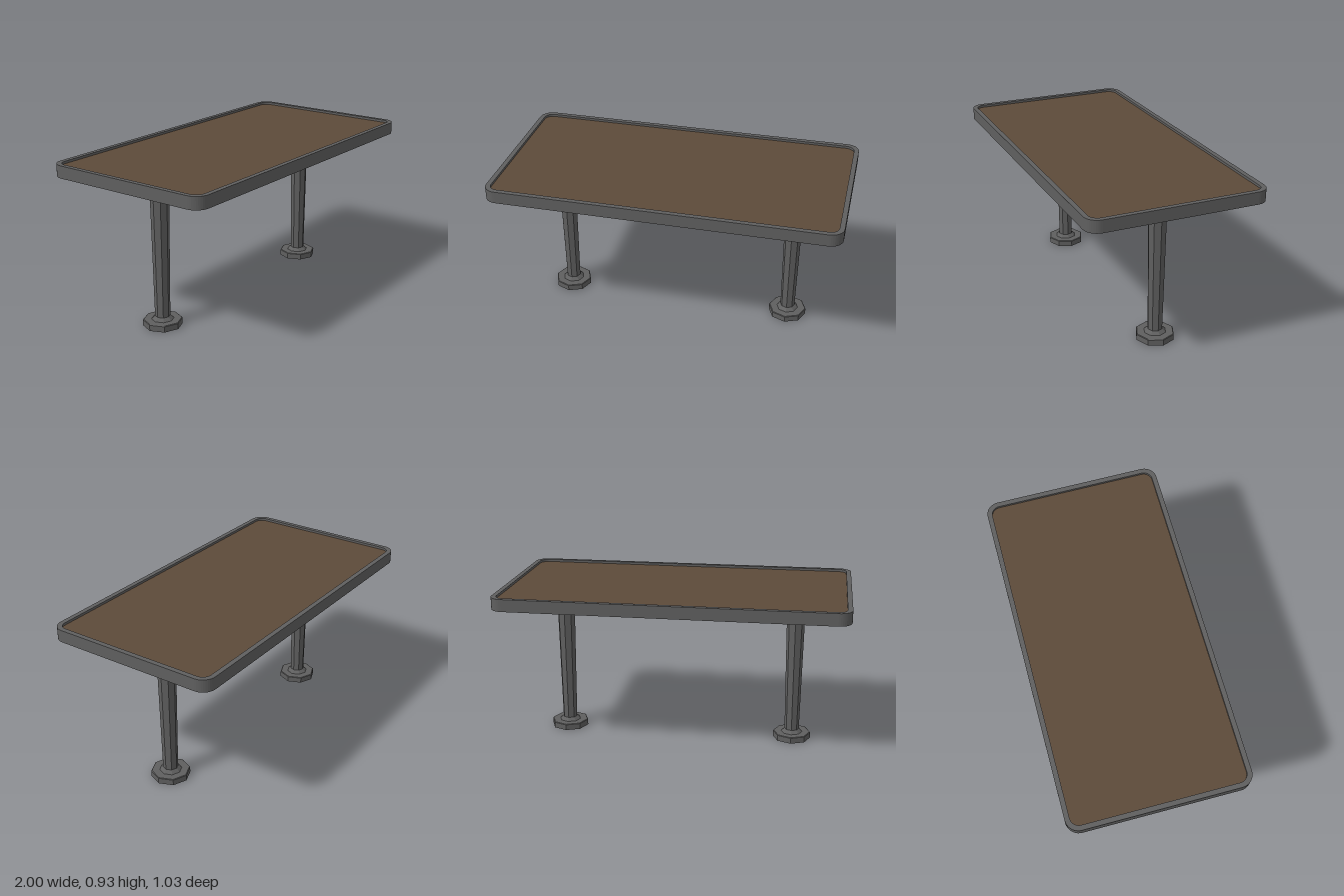
import * as THREE from 'three';

// Rounded rectangle centred on the origin, given half sizes and corner radius
function roundedRect(Type, hx, hy, r) {
  const s = new Type();
  s.moveTo(-hx + r, -hy);
  s.lineTo(hx - r, -hy);
  s.absarc(hx - r, -hy + r, r, -Math.PI / 2, 0, false);
  s.lineTo(hx, hy - r);
  s.absarc(hx - r, hy - r, r, 0, Math.PI / 2, false);
  s.lineTo(-hx + r, hy);
  s.absarc(-hx + r, hy - r, r, Math.PI / 2, Math.PI, false);
  s.lineTo(-hx, -hy + r);
  s.absarc(-hx + r, -hy + r, r, Math.PI, Math.PI * 1.5, false);
  return s;
}

export function createModel() {
  const group = new THREE.Group();
  const metal = new THREE.MeshStandardMaterial({ color: 0x5f5f5f, flatShading: true, side: THREE.DoubleSide });
  metal.name = 'grey metal';
  const wood = new THREE.MeshStandardMaterial({ color: 0x5d4a39 });
  wood.name = 'brown wood';

  const add = (geometry, material, name, x = 0, y = 0, z = 0) => {
    const mesh = new THREE.Mesh(geometry, material);
    mesh.name = name;
    mesh.position.set(x, y, z);
    group.add(mesh);
    return mesh;
  };

  const bottom = 0.857, top = 0.928, recess = 0.914;

  // Raised rim around the table top
  const rim = roundedRect(THREE.Shape, 1, 0.513, 0.075);
  rim.holes.push(roundedRect(THREE.Path, 0.972, 0.485, 0.05));
  const rimGeometry = new THREE.ExtrudeGeometry(rim, { depth: top - bottom, bevelEnabled: false, curveSegments: 5 });
  rimGeometry.rotateX(-Math.PI / 2);
  add(rimGeometry, metal, 'tableRim', 0, bottom);

  // Recessed wooden surface and flat underside
  const panel = roundedRect(THREE.Shape, 0.972, 0.485, 0.05);
  add(new THREE.ShapeGeometry(panel, 5).rotateX(-Math.PI / 2), wood, 'tableSurface', 0, recess);
  add(new THREE.ShapeGeometry(panel, 5).rotateX(Math.PI / 2), metal, 'tableUnderside', 0, bottom);

  // Tapered eight-sided legs with flared feet, hollow from below
  const profile = [
    [0.112, 0], [0.112, 0.034], [0.108, 0.037], [0.064, 0.037], [0.043, 0.056], [0.054, bottom],
  ].map(([r, y]) => new THREE.Vector2(r, y));
  const legGeometry = new THREE.LatheGeometry(profile, 8);
  for (const side of [-1, 1]) {
    add(legGeometry, metal, side < 0 ? 'rightLeg' : 'leftLeg', side * 0.688, 0, -0.013);
  }
  return group;
}
